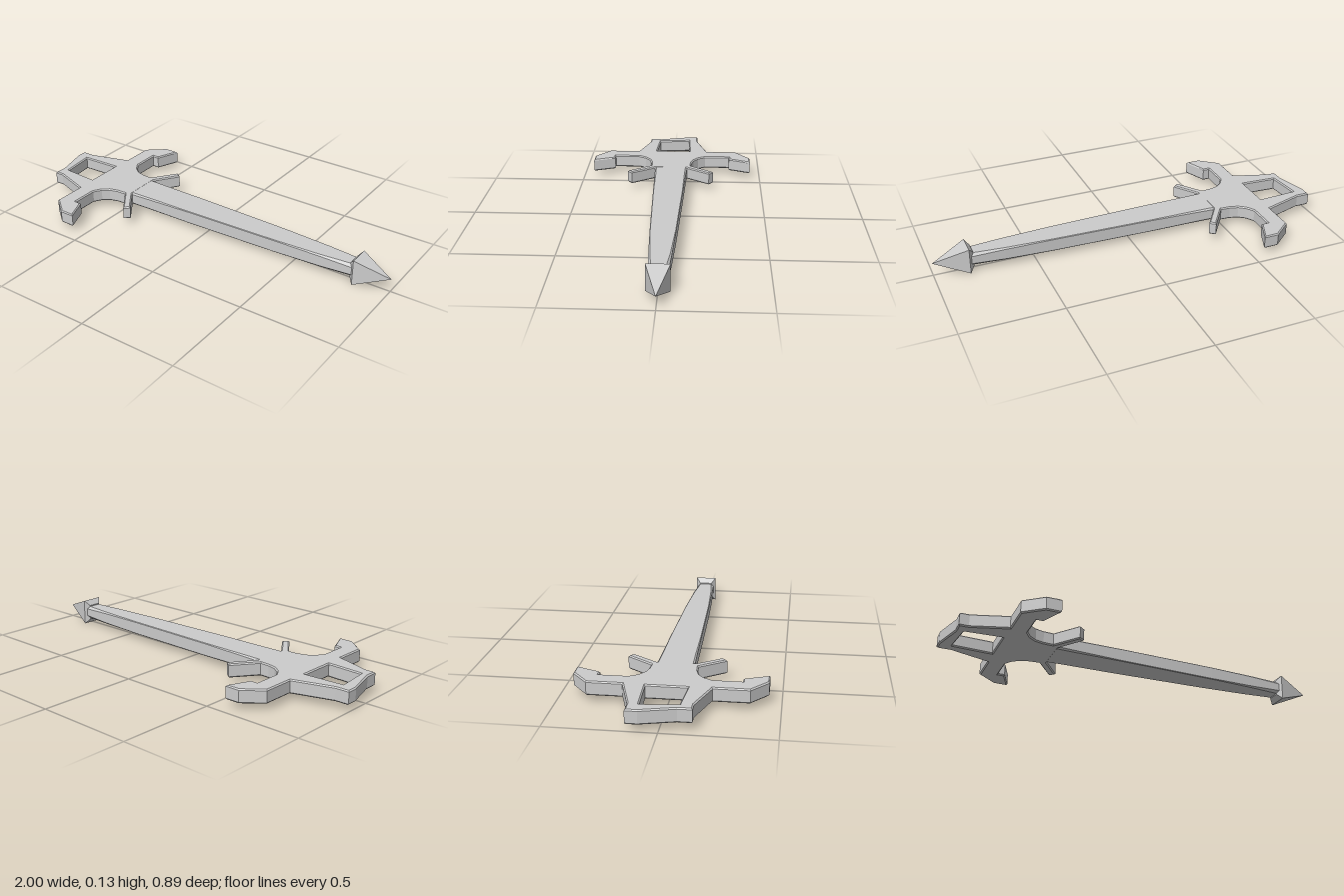
import * as THREE from 'three';

const MID = 0.066; // height of the centre plane

function makeMesh(name, geometry) {
  const material = new THREE.MeshStandardMaterial({ color: 0xcccccc, flatShading: true });
  const mesh = new THREE.Mesh(geometry, material);
  mesh.name = name;
  return mesh;
}

// Flat hilt: pommel frame, hooked guard arms and angled prongs
function hiltGeometry() {
  // One side of the guard, from pommel to blade (x, side)
  const half = [
    [-0.73, 0.2], [-0.73, 0.365], [-0.635, 0.443], [-0.56, 0.443], [-0.608, 0.325],
    [-0.642, 0.325], [-0.642, 0.19], [-0.617, 0.15], [-0.583, 0.125], [-0.54, 0.113],
    [-0.49, 0.11], [-0.398, 0.235], [-0.37, 0.212], [-0.457, 0.09],
  ];
  const mirrored = half.map(([x, s]) => [x, -s]).reverse();
  const outline = [
    [-1, 0.085], [-1, 0.14], [-0.93, 0.14], ...half,
    ...mirrored, [-0.91, -0.14], [-0.957, -0.14], [-0.957, -0.075],
  ];
  const window = [[-0.935, 0.088], [-0.917, -0.08], [-0.735, -0.092], [-0.735, 0.097]];
  const toPoints = (list) => list.map(([x, s]) => new THREE.Vector2(x, s));

  const shape = new THREE.Shape(toPoints(outline));
  shape.holes.push(new THREE.Path(toPoints(window)));
  const bevel = 0.006;
  const geometry = new THREE.ExtrudeGeometry(shape, {
    depth: 0.068 - 2 * bevel, bevelEnabled: true, bevelThickness: bevel,
    bevelSize: bevel, bevelOffset: -bevel, bevelSegments: 1,
  });
  geometry.translate(0, 0, bevel - 0.034);
  geometry.rotateX(-Math.PI / 2);
  return geometry.translate(0, MID, 0);
}

// Tapering blade: chamfered rectangles lofted along x
function bladeGeometry() {
  const h = 0.0335;
  const sections = [ // x, half width, chamfer
    [-0.5, 0.091, 0.009], [-0.35, 0.085, 0.007], [-0.1, 0.078, 0.003],
    [0.4, 0.063, 0.003], [0.65, 0.053, 0.007], [0.82, 0.044, 0.014],
  ];
  const rings = sections.map(([x, w, c]) => [
    [h, -w + c], [h, w - c], [h - c, w], [c - h, w],
    [-h, w - c], [-h, c - w], [c - h, -w], [h - c, -w],
  ].map(([y, z]) => [x, y, z]));

  const positions = [];
  for (let i = 0; i < rings.length - 1; i++) {
    for (let k = 0; k < 8; k++) {
      const n = (k + 1) % 8;
      const a = rings[i][k], b = rings[i][n], c = rings[i + 1][n], d = rings[i + 1][k];
      positions.push(...a, ...b, ...c, ...a, ...c, ...d);
    }
  }
  const geometry = new THREE.BufferGeometry();
  geometry.setAttribute('position', new THREE.Float32BufferAttribute(positions, 3));
  geometry.computeVertexNormals();
  return geometry.translate(0, MID, 0);
}

// Four-sided point with a short flare at its base
function tipGeometry() {
  const profile = [[0, 0.805], [0.6, 0.805], [1, 0.828], [0, 1]]
    .map(([r, x]) => new THREE.Vector2(r * Math.SQRT2, x));
  const geometry = new THREE.LatheGeometry(profile, 4, Math.PI / 4);
  geometry.scale(MID, 1, 0.055);
  geometry.rotateZ(-Math.PI / 2);
  return geometry.translate(0, MID, 0);
}

export function createModel() {
  const model = new THREE.Group();
  model.name = 'sword';
  model.add(
    makeMesh('hilt', hiltGeometry()),
    makeMesh('blade', bladeGeometry()),
    makeMesh('tip', tipGeometry()),
  );
  return model;
}
